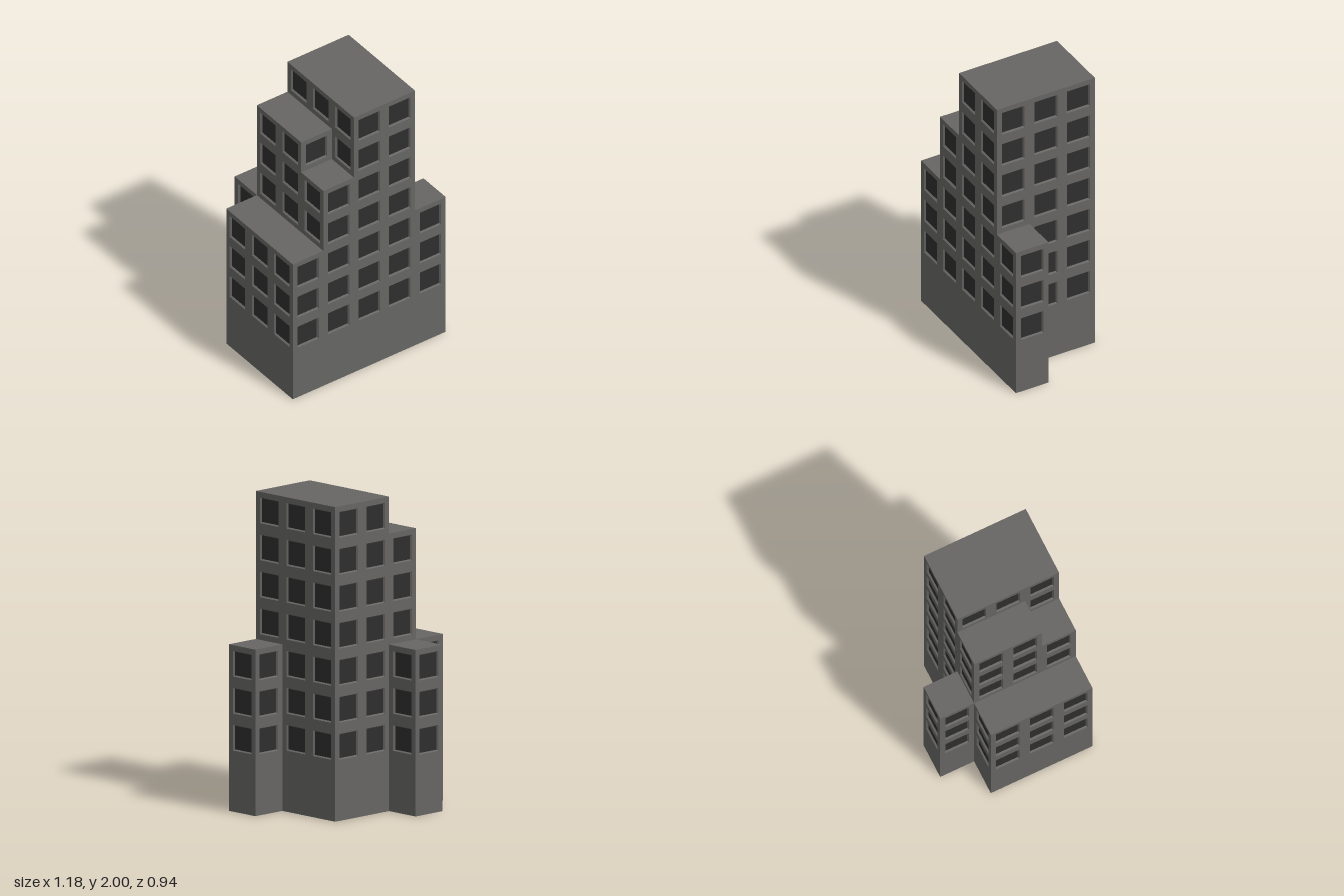
import * as THREE from 'three';
import { mergeGeometries } from 'three/addons/utils/BufferGeometryUtils.js';

const U = 2 / 8.5;          // one bay: width, depth and storey height
const BASE = 1.5 * U;       // plain ground storey
const OUTER = 0.082, INNER = 0.075, DEPTH = 0.012; // window half sizes, recess

// Window storeys per bay: rows run back to front, columns run -x to +x
const PLAN = [
  [0, 3, 0, 0, 0],
  [3, 6, 7, 7, 0],
  [3, 6, 7, 7, 0],
  [3, 5, 7, 7, 3],
];
const storeys = (i, j) => PLAN[j]?.[i] ?? 0;

// Wall panel for one storey, with a square window opening
function panelGeometry() {
  const h = U / 2;
  const square = (s) => [[-s, -s], [s, -s], [s, s], [-s, s]].map(([x, y]) => new THREE.Vector2(x, y));
  const shape = new THREE.Shape(square(h));
  shape.holes.push(new THREE.Path(square(OUTER).reverse()));
  return new THREE.ShapeGeometry(shape).toNonIndexed();
}

// Sloping reveal around the recessed pane, facing inward
function revealGeometry() {
  let g = new THREE.CylinderGeometry(OUTER * Math.SQRT2, INNER * Math.SQRT2, DEPTH, 4, 1, true);
  g.rotateY(Math.PI / 4).rotateX(Math.PI / 2).scale(-1, 1, 1).translate(0, 0, -DEPTH / 2);
  g = g.toNonIndexed();
  g.computeVertexNormals();
  return g;
}

export function createModel() {
  const model = new THREE.Group();
  model.name = 'steppedTower';
  const wall = new THREE.MeshStandardMaterial({ color: 0x666563 });
  const glass = new THREE.MeshStandardMaterial({ color: 0x2e2e2e });

  const panel = panelGeometry();
  const reveal = revealGeometry();
  const pane = new THREE.PlaneGeometry(2 * INNER, 2 * INNER).translate(0, 0, -DEPTH).toNonIndexed();
  const basePanel = new THREE.PlaneGeometry(U, BASE).toNonIndexed();
  const slab = new THREE.PlaneGeometry(U, U).toNonIndexed();

  const parts = { groundStorey: [], walls: [], windowReveals: [], windowPanes: [], roofs: [], floor: [] };

  PLAN.forEach((row, j) => row.forEach((count, i) => {
    if (!count) return;
    const x = (i - 2) * U, z = (j - 1.5) * U;

    // Roof and underside of the bay
    parts.roofs.push(slab.clone().rotateX(-Math.PI / 2).translate(x, BASE + count * U, z));
    parts.floor.push(slab.clone().rotateX(Math.PI / 2).translate(x, 0, z));

    // Four sides: front, +x, back, -x; only storeys above the neighbour are exposed
    [[0, 1], [1, 0], [0, -1], [-1, 0]].forEach(([dx, dz], side) => {
      const place = (g, y) => g.clone().rotateY(side * Math.PI / 2)
        .translate(x + dx * U / 2, y, z + dz * U / 2);
      const from = storeys(i + dx, j + dz);
      if (!from) parts.groundStorey.push(place(basePanel, BASE / 2));
      for (let k = from; k < count; k++) {
        const y = BASE + (k + 0.5) * U;
        parts.walls.push(place(panel, y));
        parts.windowReveals.push(place(reveal, y));
        parts.windowPanes.push(place(pane, y));
      }
    });
  }));

  for (const [name, list] of Object.entries(parts)) {
    const mesh = new THREE.Mesh(mergeGeometries(list), name === 'windowPanes' ? glass : wall);
    mesh.name = name;
    model.add(mesh);
  }
  return model;
}
